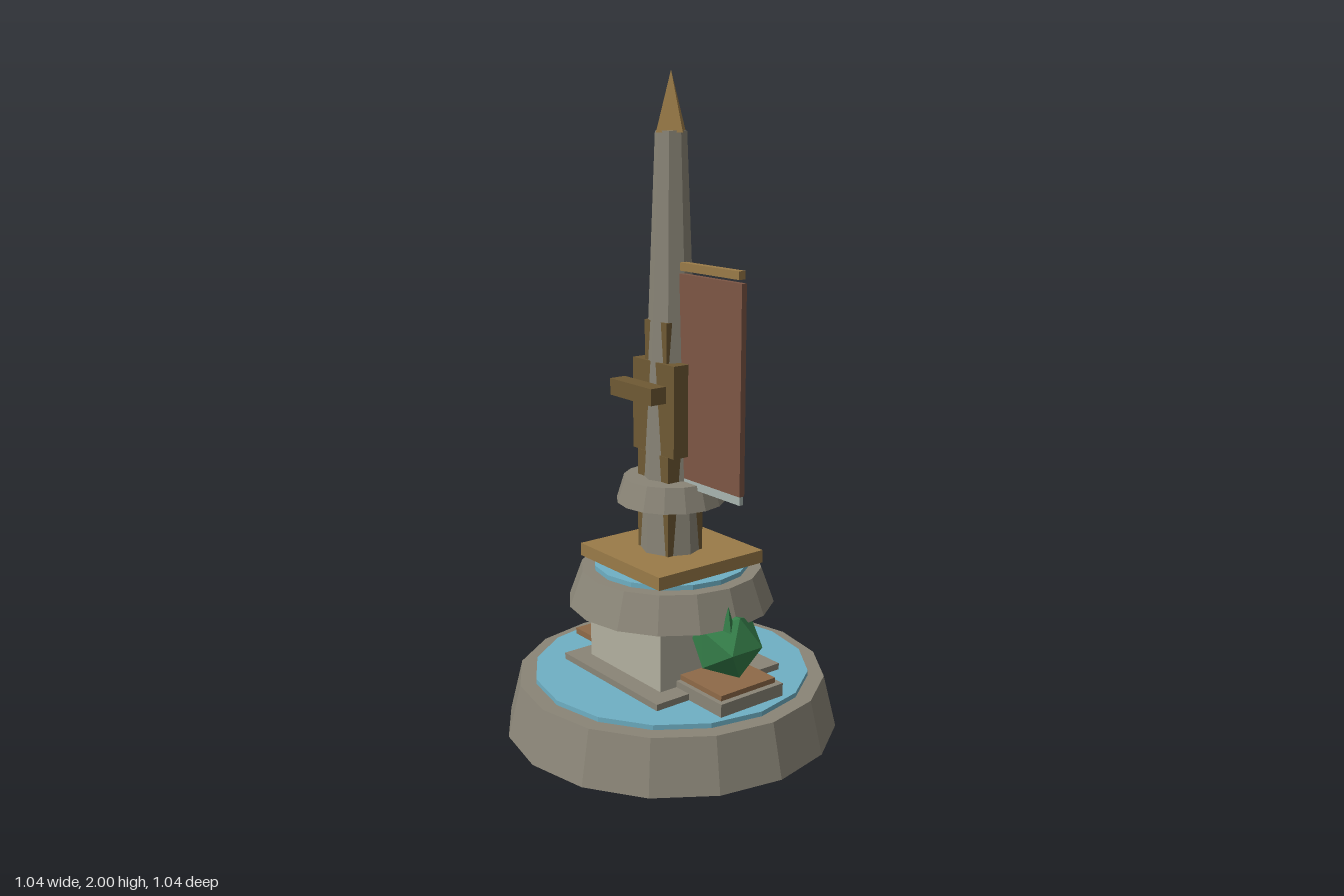
import * as THREE from 'three';

const mat = (color) => new THREE.MeshStandardMaterial({ color, flatShading: true });
const stone = mat(0x8a8577), paleStone = mat(0xb3b09f), water = mat(0x6fb0c4);
const gold = mat(0x9a7b48), darkWood = mat(0x6f5a34), wood = mat(0x8f6a48);
const cloth = mat(0x7d5645), trim = mat(0xa9b5b0), leaf = mat(0x357f4a);

export function createModel() {
  const model = new THREE.Group();

  const add = (name, geometry, material, x, y, z) => {
    const mesh = new THREE.Mesh(geometry, material);
    mesh.name = name;
    mesh.position.set(x, y, z);
    model.add(mesh);
    return mesh;
  };
  // Box given by its lower and upper corners
  const box = (name, material, [x0, y0, z0], [x1, y1, z1]) =>
    add(name, new THREE.BoxGeometry(x1 - x0, y1 - y0, z1 - z0), material,
      (x0 + x1) / 2, (y0 + y1) / 2, (z0 + z1) / 2);
  // Upright tapered prism from y0 to y1
  const prism = (name, material, rBottom, rTop, y0, y1, sides, x = 0, z = 0) =>
    add(name, new THREE.CylinderGeometry(rTop, rBottom, y1 - y0, sides), material, x, (y0 + y1) / 2, z);

  // Lower basin and its water
  prism('lowerBasin', stone, 0.52, 0.48, 0, 0.165, 16);
  prism('lowerWater', water, 0.43, 0.43, 0.16, 0.18, 16);

  // Pedestal
  box('plinth', stone, [-0.24, 0.17, -0.24], [0.24, 0.2, 0.24]);
  box('pedestal', paleStone, [-0.18, 0.2, -0.18], [0.18, 0.41, 0.18]);

  // Upper basin, its water and the square platform
  prism('upperBasin', stone, 0.32, 0.28, 0.405, 0.515, 16);
  prism('upperWater', water, 0.24, 0.24, 0.51, 0.53, 16);
  box('platform', gold, [-0.2, 0.53, -0.2], [0.2, 0.57, 0.2]);

  // Spire with collar and pointed cap
  prism('spire', paleStone, 0.096, 0.047, 0.57, 1.83, 8).material = stone;
  prism('spireCollar', stone, 0.168, 0.145, 0.725, 0.8, 16);
  prism('spireCap', gold, 0.055, 0, 1.825, 2, 4);

  // Timber casing around the spire
  box('lowerCasing', darkWood, [-0.075, 0.57, -0.063], [0.075, 0.88, 0.07]);
  box('middleCasing', darkWood, [-0.1, 0.88, -0.06], [0.1, 1.16, 0.068]);
  box('upperCasing', darkWood, [-0.053, 1.16, -0.05], [0.053, 1.28, 0.058]);
  box('crossbar', darkWood, [-0.08, 1.06, 0.113], [0.12, 1.11, 0.167]);

  // Banner hanging from a rod
  box('bannerRod', gold, [0.03, 1.432, -0.012], [0.32, 1.456, 0.012]);
  box('banner', cloth, [0.04, 0.81, -0.004], [0.335, 1.423, 0.014]);
  box('bannerTrim', trim, [0.05, 0.785, 0], [0.335, 0.81, 0.014]);

  // Bench with upright back
  box('benchSeat', wood, [-0.39, 0.175, -0.1], [-0.18, 0.2, 0.096]);
  box('benchBack', wood, [-0.39, 0.2, -0.1], [-0.18, 0.355, -0.08]);

  // Planter and bush
  box('planter', stone, [0.17, 0.175, -0.12], [0.388, 0.22, 0.12]);
  box('planterSoil', wood, [0.17, 0.22, -0.105], [0.37, 0.236, 0.105]);
  add('bush', new THREE.IcosahedronGeometry(0.11, 0), leaf, 0.27, 0.343, 0);
  prism('bushSprig', leaf, 0.028, 0, 0.375, 0.475, 5, 0.31, 0.03);

  return model;
}
